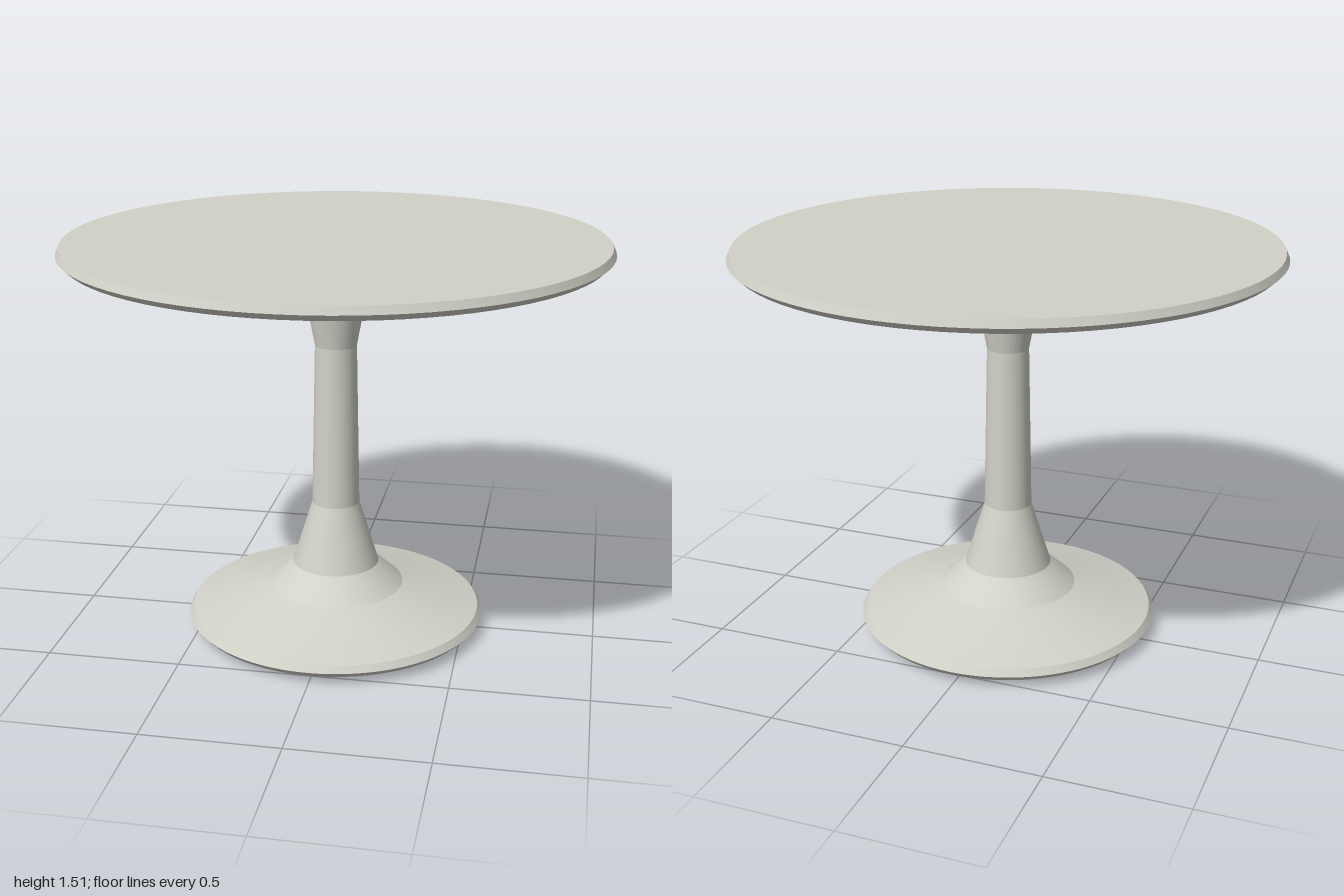
import * as THREE from 'three';
import { toCreasedNormals } from 'three/addons/utils/BufferGeometryUtils.js';

// Turned part: profile of [radius, height] pairs from bottom to top, crisp rings, smooth around
function turned(name, profile, material) {
  const points = profile.map(([r, y]) => new THREE.Vector2(r, y));
  const geometry = toCreasedNormals(new THREE.LatheGeometry(points, 80), 0.15);
  const mesh = new THREE.Mesh(geometry, material);
  mesh.name = name;
  return mesh;
}

export function createModel() {
  const group = new THREE.Group();
  group.name = 'pedestalTable';

  const offWhite = new THREE.MeshStandardMaterial({ color: 0xd2d1c8 });
  offWhite.name = 'warmOffWhite';

  // Flared foot, slim stem and trumpet-shaped head
  group.add(turned('pedestal', [
    [0, 0], [0.45, 0.005], [0.55, 0.028], [0.57, 0.05], [0.553, 0.075],
    [0.43, 0.106], [0.26, 0.16], [0.165, 0.245], [0.09, 0.49], [0.078, 1.11],
    [0.114, 1.305], [0.235, 1.41], [0.378, 1.449], [0, 1.449],
  ], offWhite));

  // Round top with a bevelled rim
  group.add(turned('tableTop', [
    [0, 1.457], [0.975, 1.457], [1, 1.48], [0.988, 1.507], [0, 1.507],
  ], offWhite));

  return group;
}
